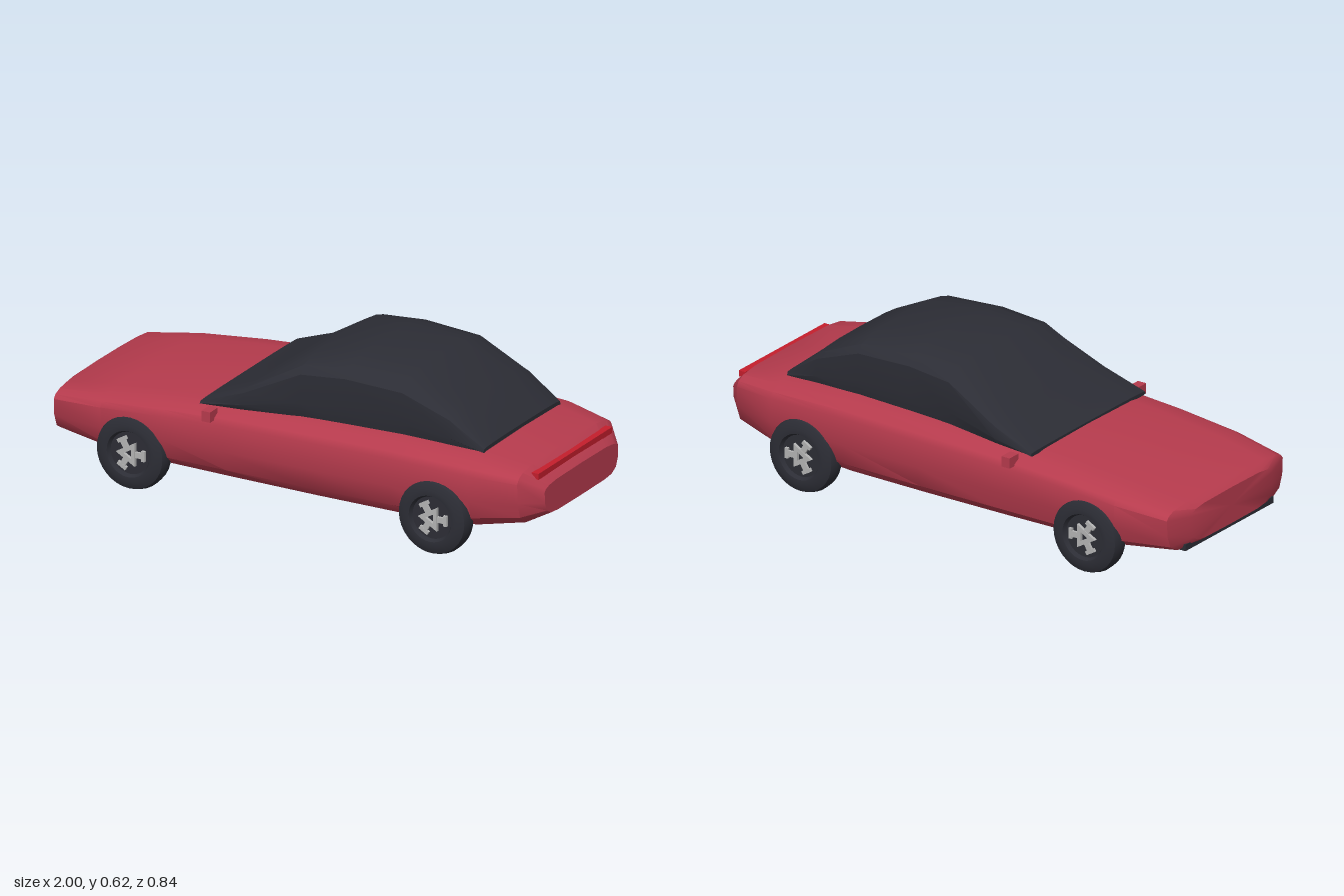
import * as THREE from 'three';
import { toCreasedNormals } from 'three/addons/utils/BufferGeometryUtils.js';

const paint = new THREE.MeshStandardMaterial({ color: 0xb63b4d });
paint.name = 'red paint';
const dark = new THREE.MeshStandardMaterial({ color: 0x2c2d35 });
dark.name = 'dark glass and rubber';
const metal = new THREE.MeshStandardMaterial({ color: 0xb4b4b4 });
metal.name = 'wheel metal';
const lamp = new THREE.MeshStandardMaterial({ color: 0xc41e2c });
lamp.name = 'tail light red';

function part(name, geometry, material, x = 0, y = 0, z = 0) {
  const mesh = new THREE.Mesh(geometry, material);
  mesh.name = name;
  mesh.position.set(x, y, z);
  return mesh;
}

// Lofts a mirrored half profile [width, height] along x.
// Each station is [x, bottom, top, halfWidth].
function loft(profile, stations, crease) {
  const n = profile.length;
  const mirrored = profile.slice(1, n - 1).reverse().map(([w, h]) => [-w, h]);
  const ring = [...profile, ...mirrored];
  const rows = stations.map(([x, lo, hi, half]) =>
    ring.map(([w, h]) => [x, lo + (hi - lo) * h, w * half]));
  const pos = [];
  const tri = (a, b, c) => pos.push(...a, ...b, ...c);
  const last = rows.length - 1;
  const mid = ([x, lo, hi]) => [x, (lo + hi) / 2, 0];
  for (let j = 0; j < ring.length; j++) {
    const k = (j + 1) % ring.length;
    for (let i = 0; i < last; i++) {
      tri(rows[i][j], rows[i][k], rows[i + 1][k]);
      tri(rows[i][j], rows[i + 1][k], rows[i + 1][j]);
    }
    tri(mid(stations[last]), rows[last][j], rows[last][k]);
    tri(mid(stations[0]), rows[0][k], rows[0][j]);
  }
  const g = new THREE.BufferGeometry();
  g.setAttribute('position', new THREE.Float32BufferAttribute(pos, 3));
  return toCreasedNormals(g, crease);
}

function bodyGeometry() {
  const profile = [
    [0, 1], [0.67, 0.985], [0.88, 0.94], [0.97, 0.87], [1, 0.79], [0.99, 0.45],
    [0.94, 0.19], [0.82, 0.05], [0.63, 0.01], [0, 0],
  ];
  const stations = [
    [-1, 0.15, 0.29, 0.25], [-0.97, 0.13, 0.31, 0.355], [-0.76, 0.105, 0.342, 0.387],
    [-0.5, 0.096, 0.37, 0.396], [-0.25, 0.094, 0.388, 0.4], [0.1, 0.092, 0.398, 0.4],
    [0.43, 0.092, 0.402, 0.396], [0.75, 0.105, 0.387, 0.382], [0.93, 0.14, 0.361, 0.337],
    [1, 0.176, 0.299, 0.262],
  ];
  return loft(profile, stations, 0.6);
}

function canopyGeometry() {
  const profile = [
    [0, 1], [0.5, 0.985], [0.74, 0.94], [0.91, 0.87], [1, 0.74], [1.015, 0.25], [0.98, 0], [0, 0],
  ];
  const stations = [
    [-0.37, 0.37, 0.387, 0.347], [-0.2, 0.375, 0.465, 0.335], [0.02, 0.38, 0.606, 0.308],
    [0.2, 0.382, 0.626, 0.3], [0.43, 0.382, 0.612, 0.292], [0.62, 0.38, 0.515, 0.28],
    [0.755, 0.375, 0.4, 0.27],
  ];
  return loft(profile, stations, 0.6);
}

// Wheel facing +z, with a dished face and a three-armed rim.
function wheel() {
  const g = new THREE.Group();
  g.name = 'wheel';
  const outline = [
    [0, -0.035], [0.11, -0.035], [0.14, -0.032], [0.143, 0], [0.135, 0.024],
    [0.108, 0.037], [0.088, 0.035], [0.08, 0.02], [0, 0.02],
  ].map(([r, h]) => new THREE.Vector2(r, h));
  const tyre = new THREE.LatheGeometry(outline, 32);
  tyre.rotateX(Math.PI / 2);
  g.add(part('tyre', toCreasedNormals(tyre, 0.7), dark));

  // Triangular hub with an open centre
  const corner = (r, a) => new THREE.Vector2(r * Math.cos(a), r * Math.sin(a));
  const triangle = (r) => [1, 3, 5].map((k) => corner(r, k * Math.PI / 3));
  const hub = new THREE.Shape(triangle(0.052));
  hub.holes.push(new THREE.Path(triangle(0.02).reverse()));
  g.add(part('hub', new THREE.ExtrudeGeometry(hub, { depth: 0.014, bevelEnabled: false }),
    metal, 0, 0, 0.018));

  // Arms with broad tips
  for (let i = 0; i < 3; i++) {
    const arm = new THREE.Group();
    arm.name = 'rimArm';
    arm.add(part('spoke', new THREE.BoxGeometry(0.045, 0.022, 0.012), metal, 0.042, 0, 0.024));
    arm.add(part('spokeTip', new THREE.BoxGeometry(0.014, 0.04, 0.012), metal, 0.058, 0, 0.025));
    arm.rotation.z = i * Math.PI * 2 / 3;
    g.add(arm);
  }
  return g;
}

export function createModel() {
  const car = new THREE.Group();
  car.name = 'car';
  car.add(part('body', bodyGeometry(), paint));
  car.add(part('canopy', canopyGeometry(), dark));

  // Front lip and rear light strip
  car.add(part('frontLip', new THREE.BoxGeometry(0.035, 0.025, 0.54), dark, -0.973, 0.145, 0));
  car.add(part('tailLight', new THREE.BoxGeometry(0.028, 0.023, 0.525), lamp, 0.961, 0.329, 0));

  for (const side of [1, -1]) {
    const name = side > 0 ? 'left' : 'right';
    car.add(part(name + 'Mirror', new THREE.BoxGeometry(0.036, 0.04, 0.055), paint,
      -0.307, 0.358, side * 0.391));
    for (const [end, x] of [['Front', -0.635], ['Rear', 0.61]]) {
      const w = wheel();
      w.name = name + end + 'Wheel';
      w.position.set(x, 0.144, side * 0.37);
      if (side < 0) w.rotation.set(0, Math.PI, Math.PI);
      car.add(w);
    }
  }
  return car;
}
